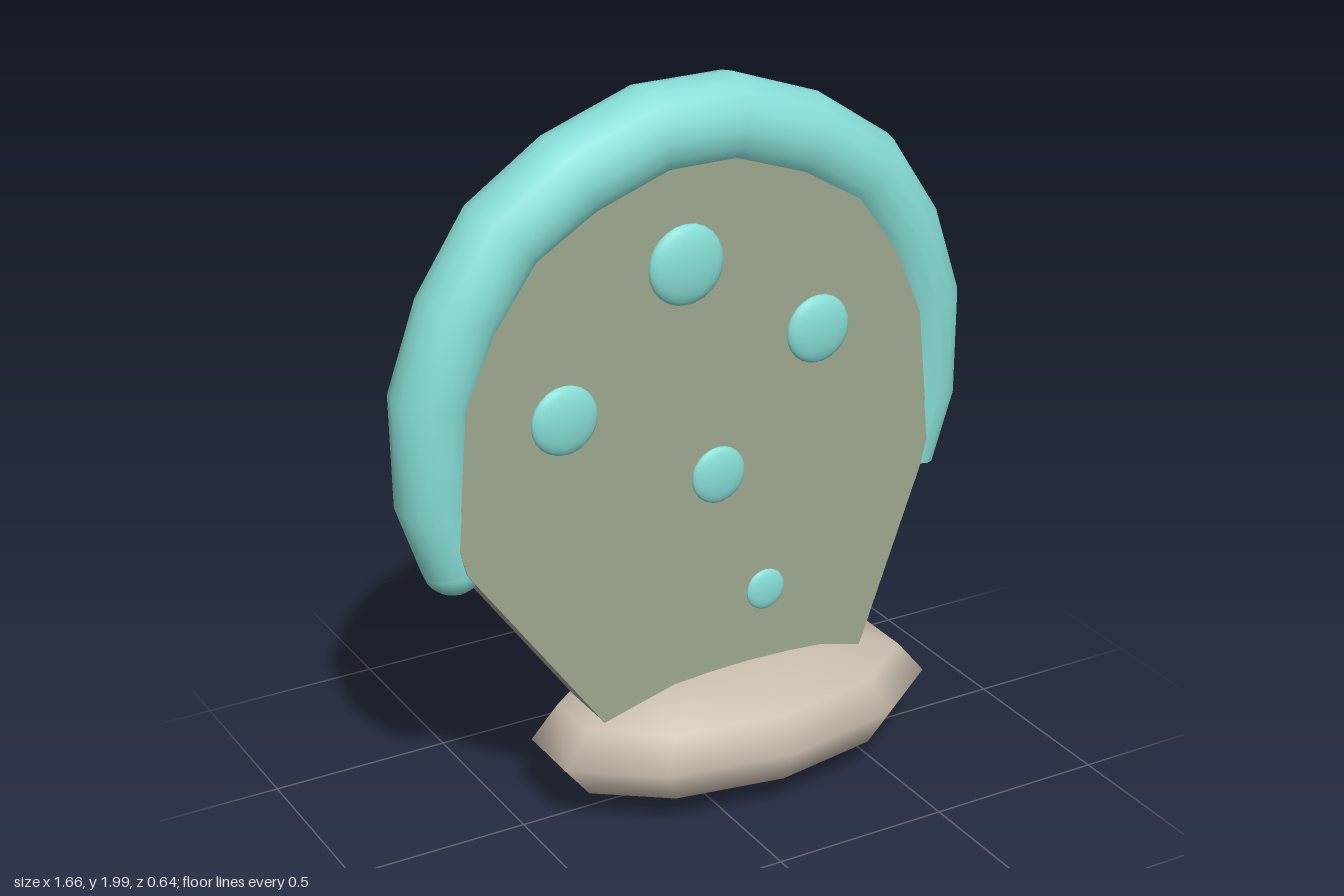
import * as THREE from 'three';

const material = (name, color) => {
  const m = new THREE.MeshStandardMaterial({ color });
  m.name = name;
  return m;
};

// Tapered round tube along points [x, y, radius] lying in the z = 0 plane
function taperedTube(points, sides) {
  const pos = [], index = [];
  points.forEach(([x, y, r], i) => {
    const a = points[Math.max(i - 1, 0)], b = points[Math.min(i + 1, points.length - 1)];
    const len = Math.hypot(b[0] - a[0], b[1] - a[1]);
    const nx = -(b[1] - a[1]) / len, ny = (b[0] - a[0]) / len;
    for (let j = 0; j < sides; j++) {
      const t = (j / sides) * Math.PI * 2, c = r * Math.cos(t);
      pos.push(x + c * nx, y + c * ny, r * Math.sin(t));
      if (i < points.length - 1) {
        const k = (j + 1) % sides, p = i * sides, q = p + sides;
        index.push(p + j, p + k, q + j, p + k, q + k, q + j);
      }
    }
  });
  const g = new THREE.BufferGeometry();
  g.setAttribute('position', new THREE.Float32BufferAttribute(pos, 3));
  g.setIndex(index);
  g.computeVertexNormals();
  return g;
}

export function createModel() {
  const group = new THREE.Group();
  const teal = material('teal', 0x86ddd5);
  const sage = material('sage', 0x9ca78f);
  const stone = material('stone', 0xc8bcac);

  const add = (name, geometry, mat) => {
    const mesh = new THREE.Mesh(geometry, mat);
    mesh.name = name;
    group.add(mesh);
    return mesh;
  };

  // Path of the rim, which is also the rounded edge of the fan: x, y, radius
  const rim = [
    [-0.68, 0.83, 0.083], [-0.73, 1.01, 0.096], [-0.725, 1.29, 0.106],
    [-0.645, 1.495, 0.112], [-0.52, 1.68, 0.116], [-0.335, 1.8, 0.119], [-0.11, 1.88, 0.12],
    [0.11, 1.88, 0.12], [0.335, 1.8, 0.119], [0.52, 1.68, 0.116], [0.645, 1.495, 0.112],
    [0.72, 1.29, 0.106], [0.73, 1.02, 0.096], [0.685, 0.83, 0.083],
  ];

  // Stone foot: a squat faceted ellipsoid
  const foot = new THREE.SphereGeometry(1, 10, 6);
  foot.rotateY(Math.PI / 2);
  foot.scale(0.595, 0.19, 0.32);
  const base = add('base', foot, stone);
  base.position.set(0.145, 0.195, 0);

  // Flat fan, narrowing down into the foot
  const outline = [[-0.19, 0.155], ...rim, [0.44, 0.16]];
  const shape = new THREE.Shape(outline.map(([x, y]) => new THREE.Vector2(x, y)));
  const plate = new THREE.ExtrudeGeometry(shape, { depth: 0.176, bevelEnabled: false });
  plate.translate(0, 0, -0.088);
  add('fan', plate, sage);

  // Rim with one rounded and one cut end
  add('rim', taperedTube(rim, 16), teal);
  const tip = add('rimRoundEnd', new THREE.SphereGeometry(0.083, 16, 12), teal);
  tip.position.set(-0.68, 0.83, 0);
  const cut = add('rimCutEnd', new THREE.CircleGeometry(0.083, 16), teal);
  cut.position.set(0.685, 0.83, 0);
  cut.quaternion.setFromUnitVectors(
    new THREE.Vector3(0, 0, 1), new THREE.Vector3(-0.045, -0.19, 0).normalize());

  // Domed spots on both faces: x, y, radius, height
  const spots = [
    [-0.05, 1.545, 0.108, 0.034], [-0.4, 1.195, 0.094, 0.028], [0.345, 1.295, 0.094, 0.028],
    [0.047, 0.945, 0.079, 0.022], [0.195, 0.575, 0.058, 0.015],
  ];
  for (const [x, y, r, h] of spots) {
    for (const side of [1, -1]) {
      const spot = add(side > 0 ? 'frontSpot' : 'backSpot', new THREE.SphereGeometry(1, 24, 12), teal);
      spot.scale.set(r, r, h);
      spot.position.set(x, y, side * 0.088);
    }
  }
  return group;
}
